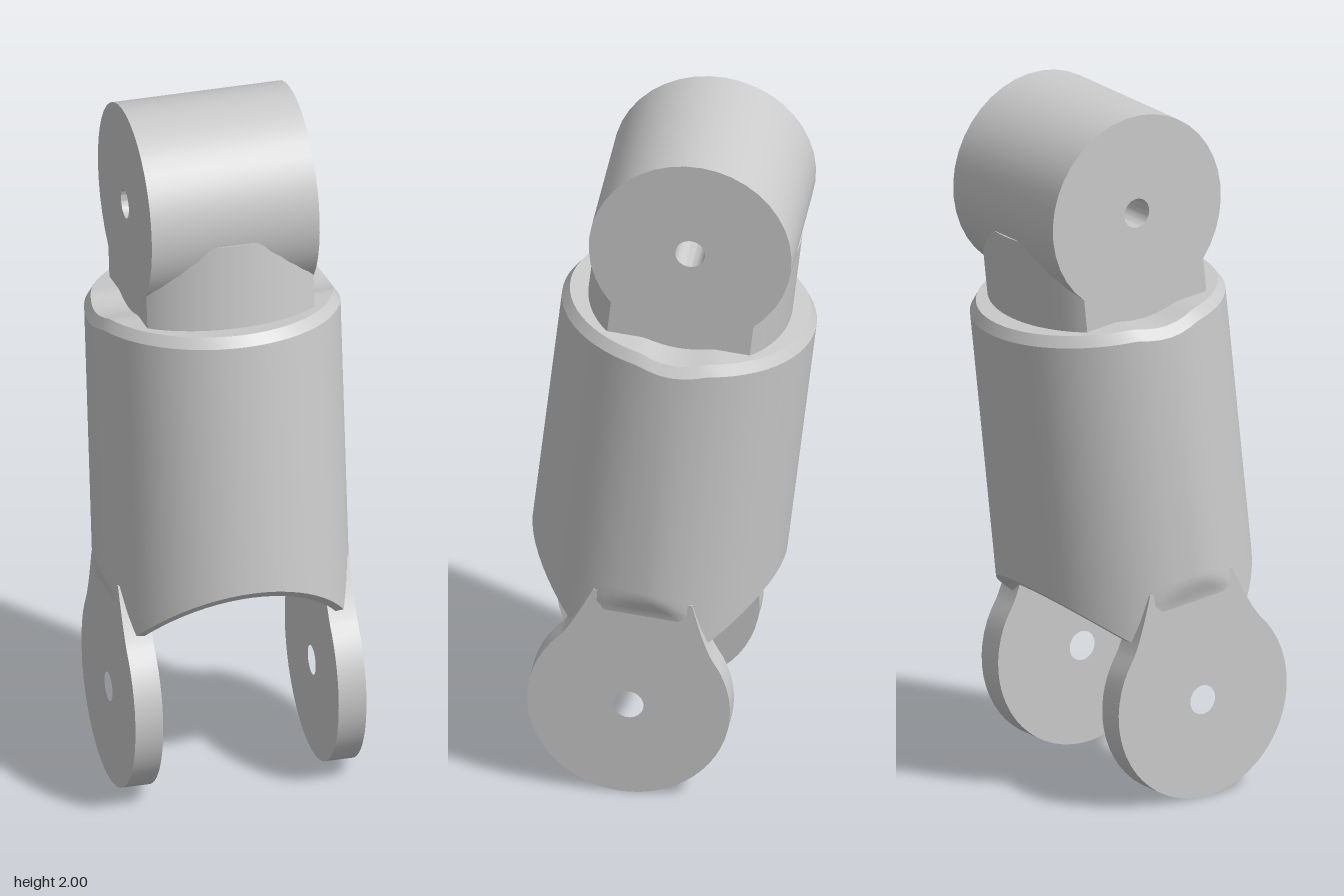
import * as THREE from 'three';
import { toCreasedNormals } from 'three/addons/utils/BufferGeometryUtils.js';

const material = new THREE.MeshStandardMaterial({ color: 0xcccccc });
const PIVOT = 1.439;      // distance between the two pin holes
const DISC = 0.285;       // radius of the head and the ears
const PIN = 0.042;

function addMesh(parent, name, geometry, crease = 0.5) {
  const mesh = new THREE.Mesh(toCreasedNormals(geometry, crease), material);
  mesh.name = name;
  parent.add(mesh);
  return mesh;
}

// Extrudes an outline with a pin hole, centred along x
function plate(shape, width) {
  const hole = new THREE.Path();
  hole.absarc(0, 0, PIN, 0, Math.PI * 2, true);
  shape.holes.push(hole);
  const geometry = new THREE.ExtrudeGeometry(shape, { depth: width, bevelEnabled: false, curveSegments: 20 });
  return geometry.translate(0, 0, -width / 2).rotateY(Math.PI / 2);
}

// Barrel with a chamfered top, arched underside and side flats above the ears
function barrelGeometry() {
  const R = 0.357, RIM = 0.338, TOP = 1.142;
  const profile = [];
  const rules = [];
  const row = (radius, rule) => {
    profile.push(new THREE.Vector2(radius, 0));
    rules.push(rule);
  };
  const arch = (r, x) => Math.sqrt(r * r - x * x);
  const scoop = (z) => Math.min(TOP, PIVOT - Math.sqrt(Math.max(0, 0.312 ** 2 - z * z)));

  for (let i = 0; i <= 10; i++) row(RIM * i / 10, (x) => arch(0.352, x));
  // side rows run from the arch edge up to fixed heights
  for (const h of [0, 0.2, 0.24, 0.28, 0.3, 0.32, 0.34, 0.36, 0.38]) {
    row(R, (x) => Math.max(arch(0.372, x), h));
  }
  row(R, (x, z) => scoop(z) - 0.03);
  for (let i = 10; i >= 0; i--) row(RIM * i / 10, (x, z) => scoop(z));

  const geometry = new THREE.LatheGeometry(profile, 64);
  const p = geometry.attributes.position;
  for (let i = 0; i < p.count; i++) {
    let x = p.getX(i);
    const z = p.getZ(i);
    const rule = rules[i % rules.length];
    let y = rule(THREE.MathUtils.clamp(x, -0.331, 0.331), z);
    const limit = 0.331 + 0.026 * THREE.MathUtils.smoothstep(y, 0.28, 0.38);
    x = THREE.MathUtils.clamp(x, -limit, limit);
    p.setXYZ(i, x, y, z);
  }
  return geometry;
}

// Ear outline: a disc flaring into a tapered web
function earShape() {
  const a = 0.7;
  const shape = new THREE.Shape();
  shape.moveTo(0.14, 0.355);
  shape.quadraticCurveTo(0.185, 0.23, DISC * Math.cos(a), DISC * Math.sin(a));
  shape.absarc(0, 0, DISC, a, Math.PI - a, true);
  shape.quadraticCurveTo(-0.185, 0.23, -0.14, 0.355);
  shape.closePath();
  return shape;
}

export function createModel() {
  const model = new THREE.Group();
  model.name = 'hingedLink';

  // The whole link leans back about its lower pin
  const link = new THREE.Group();
  link.name = 'link';
  link.position.set(0, 0.285, 0.081);
  link.rotation.x = -0.1114;
  model.add(link);

  addMesh(link, 'barrel', barrelGeometry());

  // Pair of lower hinge ears
  for (const side of [1, -1]) {
    const ear = addMesh(link, side > 0 ? 'leftEar' : 'rightEar', plate(earShape(), 0.08));
    ear.position.x = side * 0.293;
  }

  // Oval neck with flat sides
  const neck = new THREE.CylinderGeometry(1, 1, 0.3, 80).scale(0.344, 1, 0.285);
  const p = neck.attributes.position;
  for (let i = 0; i < p.count; i++) {
    p.setX(i, THREE.MathUtils.clamp(p.getX(i), -0.241, 0.241));
  }
  addMesh(link, 'neck', neck).position.y = PIVOT - 0.2;

  // Upper hinge head
  const disc = new THREE.Shape();
  disc.absarc(0, 0, DISC, 0, Math.PI * 2, false);
  addMesh(link, 'head', plate(disc, 0.484)).position.y = PIVOT;

  return model;
}
